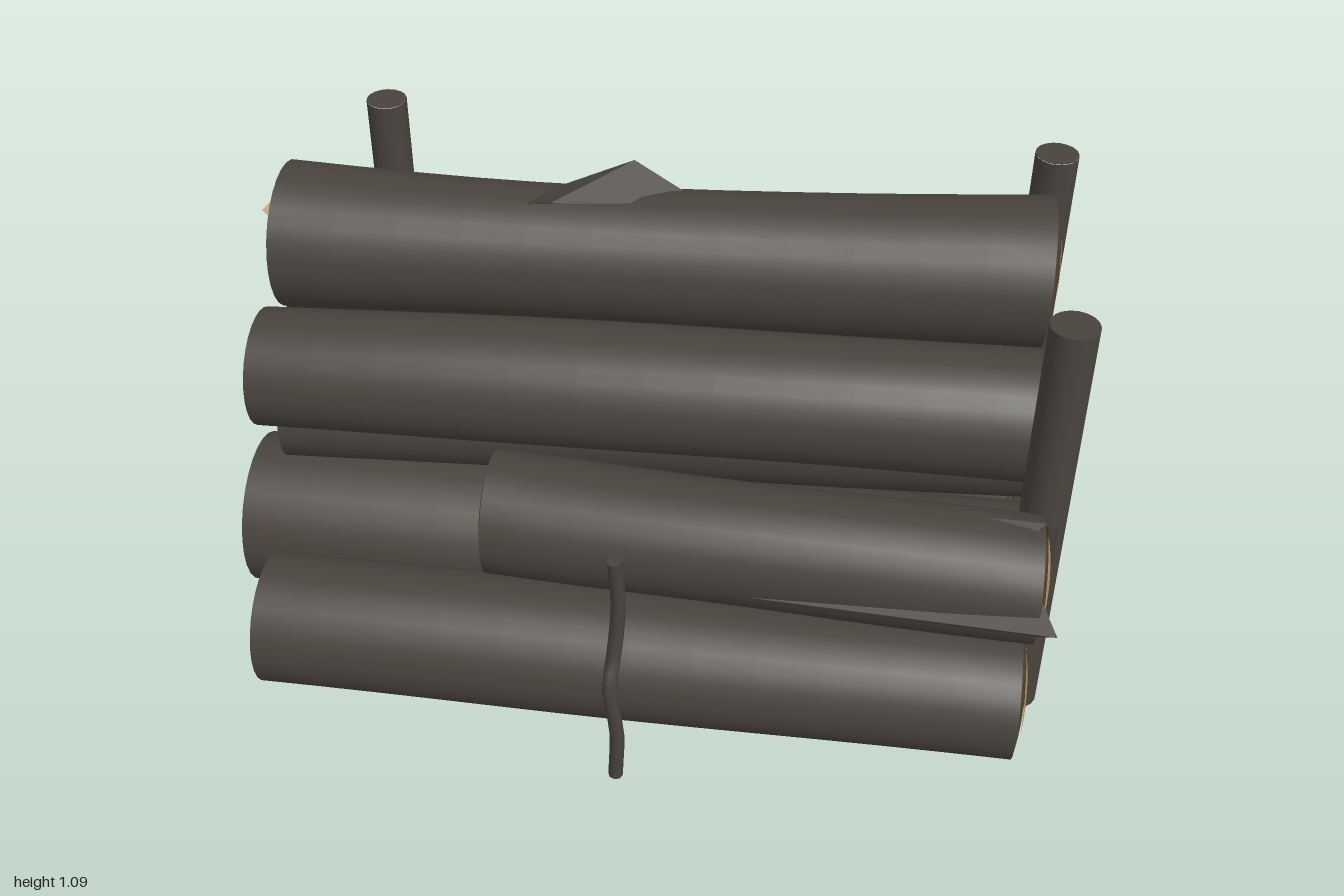
import * as THREE from 'three';
import { ConvexGeometry } from 'three/addons/geometries/ConvexGeometry.js';

const material = (name, color) => {
  const m = new THREE.MeshStandardMaterial({ color });
  m.name = name;
  return m;
};

export function createModel() {
  const bark = material('bark', 0x48433c);
  const rim = material('darkCutRim', 0x51432f);
  const wood = material('cutWood', 0xb89469);
  const root = new THREE.Group();
  root.name = 'logPile';

  const add = (parent, name, geometry, mat) => {
    const mesh = new THREE.Mesh(geometry, mat);
    mesh.name = name;
    parent.add(mesh);
    return mesh;
  };

  // Shallow dome facing +z with an oval outline; it follows a full dome of radius r
  function dome(r, w, h) {
    const geo = new THREE.RingGeometry(0, r, 28, 5);
    const p = geo.attributes.position;
    for (let i = 0; i < p.count; i++) {
      const x = p.getX(i) * w, y = p.getY(i) * h;
      p.setXYZ(i, x, y, 0.02 * (1 - (x * x + y * y) / (r * r)));
    }
    geo.computeVertexNormals();
    return geo;
  }

  // A log runs along x between two ends [x, y, z, radius]; mid shifts [y, z, radius] halfway,
  // core is the width and height of the pale oval on the sawn ends
  function log(name, a, b, mid, core, seed) {
    const group = new THREE.Group();
    group.name = name;
    root.add(group);
    const geo = new THREE.CylinderGeometry(1, 1, 1, 28, 12, true).rotateZ(-Math.PI / 2);
    const p = geo.attributes.position;
    const mix = (i, t) => a[i] + (b[i] - a[i]) * t;
    for (let i = 0; i < p.count; i++) {
      const t = p.getX(i) + 0.5, y = p.getY(i), z = p.getZ(i);
      const fade = Math.sin(Math.PI * t);
      const angle = Math.atan2(z, y);
      const r = (mix(3, t) + mid[2] * fade) * (1 + 0.025 * fade * Math.sin(2 * angle + seed + t * 5));
      p.setXYZ(i, mix(0, t), mix(1, t) + mid[0] * fade + y * r, mix(2, t) + mid[1] * fade + z * r);
    }
    geo.computeVertexNormals();
    // Share the normals across the lengthwise seam
    const n = geo.attributes.normal;
    for (let row = 0; row <= 12; row++) {
      const i = row * 29, j = i + 28;
      const v = new THREE.Vector3().fromBufferAttribute(n, i).add(new THREE.Vector3().fromBufferAttribute(n, j)).normalize();
      n.setXYZ(i, v.x, v.y, v.z);
      n.setXYZ(j, v.x, v.y, v.z);
    }
    add(group, name + 'Bark', geo, bark);

    // Sawn ends: dark rim with an oval of pale wood
    for (const [[x, y, z, r], side, label] of [[a, -1, 'Right'], [b, 1, 'Left']]) {
      const face = add(group, 'cutRim' + label, dome(r, 1, 1), rim);
      const oval = add(group, 'cutCore' + label, dome(r, ...core), wood);
      face.rotation.y = oval.rotation.y = side * Math.PI / 2;
      face.position.set(x, y, z);
      oval.position.set(x + side * 0.004, y, z);
    }
  }

  // Bottom row
  log('bottomFrontLog', [-0.86, 0.16, 0.475, 0.157], [0.92, 0.16, 0.475, 0.155], [0, 0, 0], [0.8, 0.84], 1);
  log('bottomMiddleLog', [-0.98, 0.19, 0.115, 0.19], [0.975, 0.19, 0.115, 0.187], [0, 0, 0], [0.68, 0.84], 2);
  log('bottomBackLog', [-0.95, 0.155, -0.3, 0.15], [0.9, 0.158, -0.305, 0.155], [0, -0.01, 0], [0.68, 0.84], 3);
  // Second row
  log('secondFrontLog', [-0.315, 0.49, 0.39, 0.145], [0.93, 0.49, 0.445, 0.145], [0, 0.005, 0], [0.88, 0.92], 4);
  log('secondMiddleLog', [-0.9, 0.465, 0.035, 0.13], [0.945, 0.485, -0.085, 0.157], [0, 0, 0], [0.42, 0.82], 5);
  log('secondBackLog', [-0.98, 0.42, -0.32, 0.135], [0.82, 0.44, -0.405, 0.145], [0, -0.02, 0], [0.62, 0.84], 6);
  // Third row
  log('thirdFrontLog', [-0.91, 0.68, 0.165, 0.142], [0.96, 0.71, 0.135, 0.155], [0.015, 0.01, 0], [0.45, 0.8], 1.5);
  log('thirdBackLog', [-0.965, 0.685, -0.285, 0.132], [0.83, 0.685, -0.345, 0.125], [0, -0.025, 0], [0.58, 0.84], 2.5);
  // Top
  log('topLog', [-0.9, 0.885, -0.105, 0.178], [0.915, 0.905, -0.165, 0.18], [-0.018, -0.005, -0.018], [0.63, 0.85], 5.3);

  // Broken bark and splinters
  const chip = (name, mat, ...pts) =>
    add(root, name, new ConvexGeometry(pts.map((q) => new THREE.Vector3(...q))), mat);
  chip('topBarkFlap', bark, [-0.36, 1.01, -0.11], [-0.24, 1.068, -0.035], [-0.07, 1.09, -0.22],
    [0.1, 1.01, -0.18], [0.02, 0.95, -0.27], [-0.32, 0.98, -0.2]);
  chip('backBranchStub', bark, [-0.12, 0.68, -0.4], [0.02, 0.62, -0.4], [0.0, 0.7, -0.42],
    [-0.06, 0.74, -0.48], [0.06, 0.63, -0.5], [0.1, 0.66, -0.47]);
  chip('frontBarkFlap', bark, [-0.31, 0.44, 0.515], [-0.31, 0.38, 0.46], [0.93, 0.42, 0.555],
    [0.93, 0.54, 0.565], [0.97, 0.48, 0.613], [0.4, 0.45, 0.565]);
  chip('upperBarkFlap', bark, [0.7, 0.62, 0.4], [0.9, 0.62, 0.46], [0.93, 0.65, 0.44], [0.93, 0.6, 0.41]);
  chip('splitCrack', bark, [0.935, 0.645, 0.455], [0.935, 0.62, 0.41], [0.935, 0.5, 0.435],
    [0.957, 0.645, 0.45], [0.957, 0.62, 0.415], [0.957, 0.5, 0.435]);
  chip('topSplinter', wood, [-0.9, 1, -0.17], [-0.9, 0.86, -0.2], [-0.9, 0.9, -0.08], [-0.965, 0.94, -0.11]);

  // Upright posts and thin twigs follow a list of points
  function rod(name, points, radius, sides) {
    const curve = new THREE.CatmullRomCurve3(points.map((q) => new THREE.Vector3(...q)));
    const group = new THREE.Group();
    group.name = name;
    root.add(group);
    add(group, name + 'Stem', new THREE.TubeGeometry(curve, 14, radius, sides), bark);
    const [first, last] = [points[0], points[points.length - 1]];
    for (const [q, side] of [[first, 1], [last, -1]]) {
      const cap = add(group, name + 'Cap', new THREE.CircleGeometry(radius, sides), bark);
      cap.position.set(...q);
      cap.rotation.x = side * Math.PI / 2;
    }
  }
  rod('frontPost', [[0.935, 0.005, 0.325], [0.935, 0.5, 0.32], [0.935, 1.09, 0.315]], 0.054, 18);
  rod('backLeftPost', [[0.925, 0.005, -0.415], [0.92, 0.5, -0.415], [0.92, 1.085, -0.4]], 0.052, 18);
  rod('backRightPost', [[-0.73, 0.005, -0.465], [-0.73, 0.5, -0.46], [-0.73, 1.08, -0.445]], 0.05, 18);

  rod('frontTwig', [[0.02, 0.005, 0.716], [0.025, 0.15, 0.72], [0.01, 0.29, 0.72], [0.015, 0.36, 0.687],
    [0.025, 0.5, 0.676], [0.02, 0.645, 0.686]], 0.017, 8);
  rod('backTallTwig', [[0.05, 0.005, -0.69], [0.045, 0.2, -0.685], [0.055, 0.4, -0.67],
    [0.045, 0.52, -0.69], [0.045, 0.665, -0.68]], 0.018, 8);
  rod('backMiddleTwig', [[0.52, 0.005, -0.68], [0.53, 0.16, -0.675], [0.51, 0.3, -0.685], [0.52, 0.43, -0.67]], 0.018, 8);
  rod('backShortTwig', [[0.61, 0.005, -0.715], [0.62, 0.2, -0.715], [0.61, 0.35, -0.715], [0.62, 0.505, -0.705]], 0.018, 8);

  return root;
}
